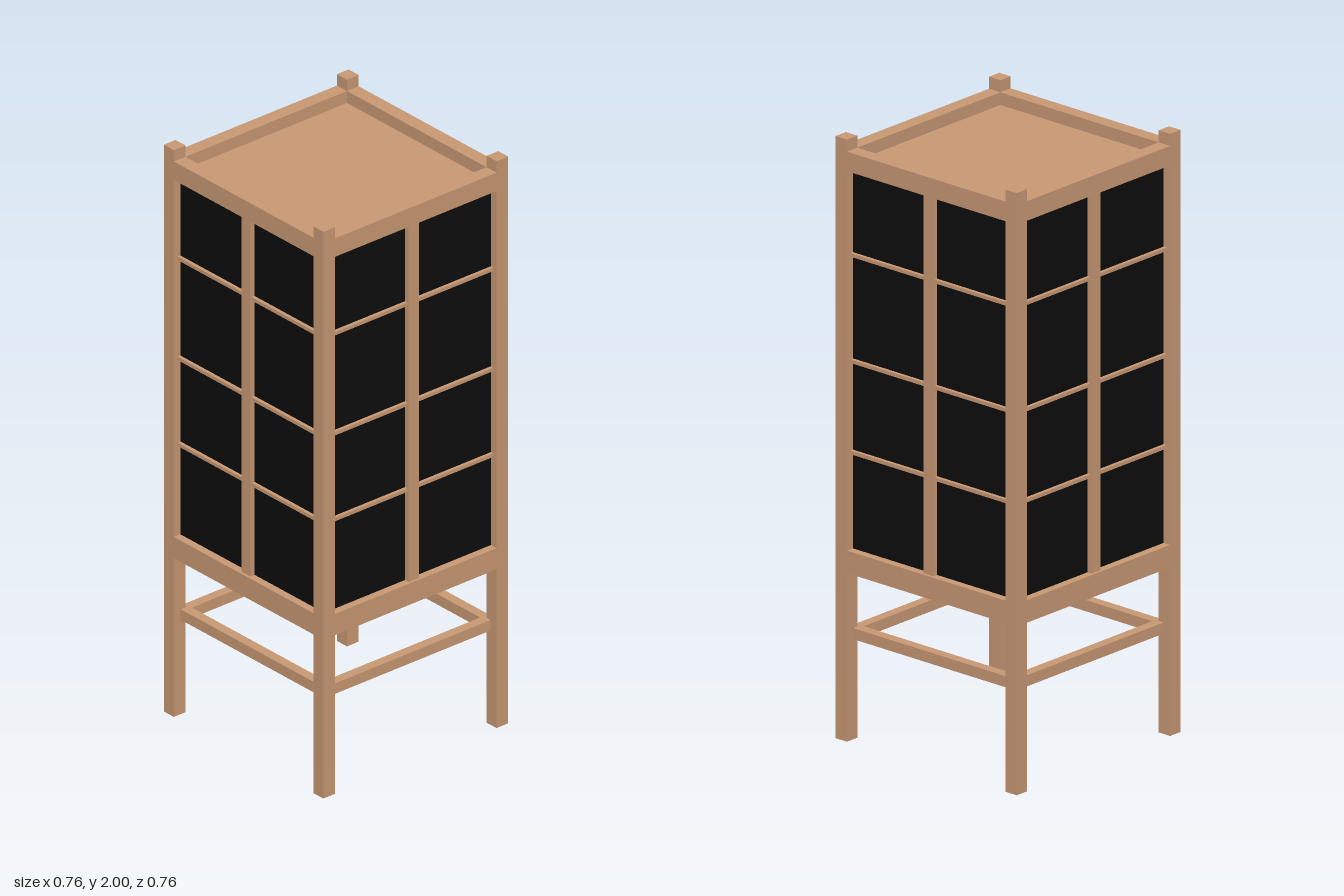
import * as THREE from 'three';

const wood = new THREE.MeshStandardMaterial({ color: 0xcb9a75 });
const dark = new THREE.MeshStandardMaterial({ color: 0x0d0d0d });

const OUT = 0.38;   // outer half width
const IN = 0.332;   // inner face of the posts

// Box given by its minimum and maximum corners
function box(name, material, [x0, y0, z0], [x1, y1, z1]) {
  const mesh = new THREE.Mesh(new THREE.BoxGeometry(x1 - x0, y1 - y0, z1 - z0), material);
  mesh.position.set((x0 + x1) / 2, (y0 + y1) / 2, (z0 + z1) / 2);
  mesh.name = name;
  return mesh;
}

// One side of the cabinet, facing +z
function createSide(name) {
  const side = new THREE.Group();
  side.name = name;
  side.add(
    box('cornerPost', wood, [IN, 0, IN], [OUT, 2, OUT]),
    box('topRail', wood, [-IN, 1.895, IN], [IN, 1.96, OUT]),
    box('bottomRail', wood, [-IN, 0.56, IN], [IN, 0.635, OUT]),
    box('stretcher', wood, [-IN, 0.333, 0.318], [IN, 0.37, 0.352]),
    box('darkPanel', dark, [-IN, 0.635, 0.342], [IN, 1.895, 0.353]),
    box('mullion', wood, [-0.021, 0.635, 0.353], [0.021, 1.895, 0.37])
  );
  // Thin glazing bars on both sides of the mullion
  for (const y of [0.957, 1.26, 1.613]) {
    side.add(
      box('glazingBar', wood, [-IN, y - 0.006, 0.353], [-0.021, y + 0.006, 0.365]),
      box('glazingBar', wood, [0.021, y - 0.006, 0.353], [IN, y + 0.006, 0.365])
    );
  }
  return side;
}

export function createModel() {
  const model = new THREE.Group();
  model.name = 'cabinet';

  // Four identical sides, each carrying one corner post
  ['frontSide', 'leftSide', 'backSide', 'rightSide'].forEach((name, i) => {
    const side = createSide(name);
    side.rotation.y = i * Math.PI / 2;
    model.add(side);
  });

  // Recessed boards closing the top and the bottom
  model.add(
    box('topBoard', wood, [-IN, 1.897, -IN], [IN, 1.918, IN]),
    box('bottomBoard', wood, [-IN, 0.612, -IN], [IN, 0.633, IN])
  );
  return model;
}
